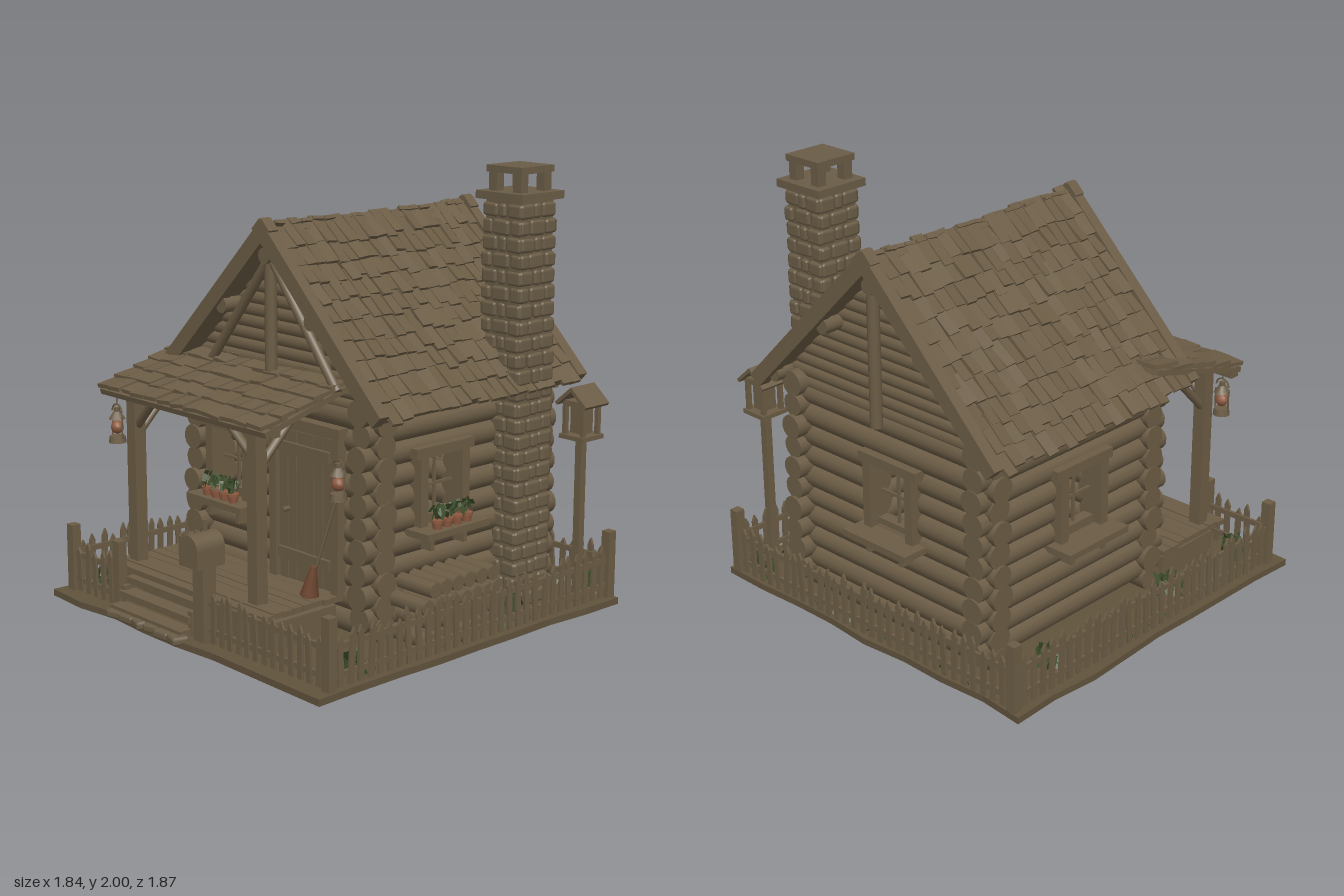
import * as THREE from 'three';
import { mergeGeometries } from 'three/addons/utils/BufferGeometryUtils.js';
import { RoundedBoxGeometry } from 'three/addons/geometries/RoundedBoxGeometry.js';

let seed = 7;
const rnd = () => (seed = (seed * 16807) % 2147483647) / 2147483647;
const jit = (a) => (rnd() * 2 - 1) * a;
const V = (x, y, z) => new THREE.Vector3(x, y, z);
const mat = (name, color, side = THREE.FrontSide) => {
  const m = new THREE.MeshStandardMaterial({ color, side });
  m.name = name;
  return m;
};

function place(g, x, y, z, rx = 0, ry = 0, rz = 0) {
  return g.rotateZ(rz).rotateX(rx).rotateY(ry).translate(x, y, z);
}
const box = (w, h, d, ...p) => place(new THREE.BoxGeometry(w, h, d), ...p);
const stone = (w, h, d, ...p) => place(new RoundedBoxGeometry(w, h, d, 1, 0.014), ...p);
const cyl = (r1, r2, h, n, ...p) => place(new THREE.CylinderGeometry(r1, r2, h, n), ...p);
// round pole between two points
function pole(a, b, r, n = 12) {
  const d = b.clone().sub(a);
  const g = new THREE.CylinderGeometry(r, r, d.length(), n);
  g.applyQuaternion(new THREE.Quaternion().setFromUnitVectors(V(0, 1, 0), d.normalize()));
  return g.translate(...a.clone().add(b).multiplyScalar(0.5).toArray());
}
function add(parent, name, material, geos) {
  const list = geos.map((g) => (g.index ? g.toNonIndexed() : g));
  const mesh = new THREE.Mesh(mergeGeometries(list), material);
  mesh.name = name;
  parent.add(mesh);
  return mesh;
}
function group(parent, name, x, y, z, ry = 0) {
  const g = new THREE.Group();
  g.name = name;
  g.position.set(x, y, z);
  g.rotation.y = ry;
  parent.add(g);
  return g;
}

export function createModel() {
  seed = 7;
  const root = new THREE.Group();
  root.name = 'logCabin';
  const wood = mat('wood', 0x6b5c45), earth = mat('earth', 0x61533d), rock = mat('stone', 0x6a5c46);
  const clay = mat('terracotta', 0x8c5940), straw = mat('straw', 0x6e4630);
  const leaf = mat('leaf', 0x3f4f2c, THREE.DoubleSide);

  // ground slab with a ragged edge
  const edge = [];
  for (let s = 0; s < 4; s++) for (let i = 0; i < 8; i++)
    edge.push(new THREE.Vector2(-0.92 + i * 0.23, -0.91 + (i ? jit(0.015) : 0)).rotateAround(new THREE.Vector2(), s * Math.PI / 2));
  const slab = new THREE.ExtrudeGeometry(new THREE.Shape(edge), { depth: 0.03, bevelEnabled: false });
  add(root, 'ground', earth, [slab.rotateX(-Math.PI / 2)]);

  // log walls, each log split around the window opening
  const logs = [];
  function wall(at, from, to, hole, y0, count, run) {
    for (let i = 0; i < count; i++) {
      const y = y0 + i * 0.1, r = 0.056 + jit(0.004), c = at + jit(0.004);
      const a = from + jit(0.012), b = to + jit(0.012);
      const spans = y > 0.52 && y < 0.8 ? [[a, hole - 0.125], [hole + 0.125, b]] : [[a, b]];
      for (const [p, q] of spans) logs.push(run === 'x' ? pole(V(p, y, c), V(q, y, c), r, 14) : pole(V(c, y, p), V(c, y, q), r, 14));
    }
  }
  wall(0.27, -0.62, 0.62, -0.31, 0.08, 10, 'x');
  wall(-0.71, -0.62, 0.62, -0.04, 0.08, 10, 'x');
  wall(0.55, -0.81, 0.37, -0.06, 0.13, 10, 'z');
  wall(-0.55, -0.81, 0.37, -0.21, 0.13, 10, 'z');
  add(root, 'logWalls', wood, logs);
  add(root, 'cabinFloor', wood, [box(1.06, 0.14, 0.94, 0, 0.1, -0.22)]);

  // gables, trusses and purlins
  const gable = [], truss = [];
  for (const z of [0.28, -0.72]) for (let y = 1.03; y < 1.7; y += 0.055)
    gable.push(pole(V(y - 1.71, y, z), V(1.71 - y, y, z), 0.034, 10));
  for (const z of [0.37, -0.81]) {
    truss.push(pole(V(0, 1.0, z), V(0, 1.68, z), 0.028));
    if (z > 0) for (const s of [-1, 1]) truss.push(pole(V(0.02 * s, 1.6, z), V(0.42 * s, 1.1, z), 0.022));
  }
  for (const [x, y] of [[0, 1.63], [-0.29, 1.38], [0.29, 1.38], [-0.62, 1.07], [0.62, 1.07]])
    truss.push(pole(V(x, y, -0.84), V(x, y, 0.41), 0.036));
  add(root, 'gableLogs', wood, gable);
  add(root, 'trussAndPurlins', wood, truss);

  // main roof: two mirrored slopes of loose shingles
  for (const s of [0, 1]) {
    const side = group(root, 'roofSide', 0, 1.765, -0.22, s * Math.PI);
    const slope = group(side, 'roofSlope', 0, 0, 0);
    slope.rotation.z = -Math.PI / 4;
    const boards = [box(1.02, 0.025, 1.2, 0.51, -0.035, 0)];
    for (const z of [-0.62, 0.62]) boards.push(box(1.05, 0.07, 0.055, 0.5, -0.02, z));
    add(slope, 'roofBoards', wood, boards);
    const shingles = [];
    for (let r = 0; r < 10; r++) for (let i = 0; i < 20; i++)
      shingles.push(box(0.145 + jit(0.02), 0.016, 0.058 + jit(0.008), 0.065 + r * 0.101 + jit(0.012), -0.003 + jit(0.004),
        -0.56 + i * 0.059 + jit(0.006), jit(0.14), jit(0.06), 0.1 + jit(0.05)));
    add(slope, 'shingles', wood, shingles);
  }

  // porch roof
  const porch = group(root, 'porchRoof', -0.145, 1.085, 0.475);
  porch.rotation.x = 0.272;
  add(porch, 'porchBoards', wood, [box(1.13, 0.025, 0.62, 0, -0.025, 0)]);
  const tiles = [];
  for (let r = 0; r < 6; r++) for (let i = 0; i < 13; i++)
    tiles.push(box(0.088 + jit(0.01), 0.018, 0.14 + jit(0.015), -0.525 + i * 0.0875 + jit(0.006), 0.004 + jit(0.003),
      -0.25 + r * 0.1 + jit(0.008), -0.11 + jit(0.03), jit(0.05), jit(0.1)));
  add(porch, 'porchShingles', wood, tiles);

  // porch frame: posts, beam and braces
  const frame = [box(1.14, 0.05, 0.05, -0.15, 0.985, 0.71)];
  for (const x of [-0.58, 0.25]) {
    frame.push(box(0.06, 0.82, 0.06, x, 0.58, 0.67), box(0.045, 0.045, 0.45, x, 1.01, 0.5));
    frame.push(pole(V(x, 0.8, 0.65), V(x, 0.99, 0.46), 0.02, 8));
    const s = x < 0 ? 1 : -1;
    frame.push(pole(V(x, 0.82, 0.67), V(x + 0.15 * s, 0.96, 0.69), 0.02, 8));
  }
  add(root, 'porchFrame', wood, frame);

  // porch deck and steps
  const deck = [box(1.02, 0.13, 0.36, -0.12, 0.09, 0.53)];
  for (let i = 0; i < 8; i++) deck.push(box(1.06 + jit(0.01), 0.025, 0.052, -0.12, 0.19 + jit(0.003), 0.355 + i * 0.056));
  for (let i = 0; i < 3; i++) deck.push(box(0.5, 0.03, 0.075, -0.24, 0.16 - i * 0.055, 0.775 + i * 0.045));
  for (const x of [-0.48, 0]) deck.push(box(0.03, 0.12, 0.1, x, 0.08, 0.79));
  add(root, 'deckAndSteps', wood, deck);
  const slabs = [];
  for (let i = 0; i < 6; i++) slabs.push(stone(0.095, 0.04, 0.08 + jit(0.015), -0.45 + i * 0.088, 0.03, 0.89 + jit(0.012), 0, jit(0.3)));
  add(root, 'doorstepStones', rock, slabs);

  // plank door
  const door = [];
  for (let i = 0; i < 6; i++) door.push(box(0.052, 0.68 + jit(0.008), 0.02, 0.05 + i * 0.056, 0.54, 0.335 + jit(0.003)));
  for (const y of [0.32, 0.8]) door.push(box(0.33, 0.045, 0.018, 0.19, y, 0.352));
  for (const x of [-0.01, 0.39]) door.push(box(0.045, 0.72, 0.05, x, 0.55, 0.335));
  door.push(box(0.46, 0.05, 0.055, 0.19, 0.91, 0.335), cyl(0.012, 0.012, 0.04, 8, 0.08, 0.52, 0.36, Math.PI / 2));
  add(root, 'door', wood, door);

  // leafy tuft made of thin blades
  function tuft(x, y, z, spread, h, n) {
    const out = [];
    for (let i = 0; i < n; i++)
      out.push(place(new THREE.PlaneGeometry(h * 0.25, h * 0.5), x + jit(spread), y + h * (0.25 + rnd() * 0.55), z + jit(spread), jit(0.8), rnd() * 6, jit(0.5)));
    return out;
  }

  // windows: local x runs along the wall, local z points outwards
  function windowAt(x, z, ry, pots) {
    const g = group(root, 'window', x, 0, z, ry), w = [];
    for (const s of [-1, 1]) w.push(box(0.045, 0.32, 0.1, s * 0.127, 0.66, 0.04), box(0.022, 0.06, 0.07, s * 0.1, 0.425, 0.08));
    w.push(box(0.35, 0.045, 0.09, 0, 0.825, 0.045), box(0.38, 0.03, 0.16, 0, 0.48, 0.095), box(0.23, 0.04, 0.05, 0, 0.515, 0.02));
    w.push(box(0.012, 0.29, 0.012, 0, 0.66, 0.02), box(0.22, 0.012, 0.012, 0, 0.66, 0.02));
    add(g, 'windowFrame', wood, w);
    if (!pots) return;
    const pot = [], plant = [];
    for (const px of [-0.09, -0.03, 0.03, 0.09]) {
      pot.push(cyl(0.025, 0.019, 0.04, 10, px, 0.512, 0.13), cyl(0.028, 0.028, 0.012, 10, px, 0.53, 0.13));
      plant.push(...tuft(px, 0.53, 0.13, 0.025, 0.075, 14));
    }
    add(g, 'flowerPots', clay, pot);
    add(g, 'potPlants', leaf, plant);
  }
  windowAt(-0.31, 0.28, 0, true);
  windowAt(0.55, -0.06, Math.PI / 2, true);
  windowAt(-0.55, -0.21, -Math.PI / 2, false);
  windowAt(-0.04, -0.71, Math.PI, false);

  // stone chimney with an open cap
  const ch = group(root, 'chimney', 0.61, 0, -0.53), st = [];
  add(ch, 'chimneyCore', rock, [box(0.2, 1.83, 0.21, 0, 0.94, 0)]);
  for (let k = 0; k < 25; k++) for (let f = 0; f < 4; f++) {
    let x = -0.115;
    const cut = k % 2 ? [0.06, 0.1, 0.07] : [0.09, 0.05, 0.09];
    for (const w of cut) {
      const g = stone(w - 0.006, 0.064 + jit(0.004), 0.03, x + w / 2, 0.07 + k * 0.0725, 0.105 + jit(0.006), 0, 0, jit(0.05));
      st.push(g.rotateY(f * Math.PI / 2));
      x += w;
    }
  }
  add(ch, 'chimneyStones', rock, st);
  const cap = [box(0.27, 0.035, 0.27, 0, 1.872, 0), box(0.205, 0.03, 0.21, 0, 1.985, 0)];
  for (const x of [-1, 1]) for (const z of [-1, 1]) cap.push(box(0.045, 0.085, 0.045, x * 0.07, 1.93, z * 0.075));
  add(ch, 'chimneyCap', rock, cap);

  // picket fence
  const picket = new THREE.Shape([[-0.014, 0], [0.014, 0], [0.014, 0.2], [0, 0.23], [-0.014, 0.2]].map((p) => new THREE.Vector2(...p)));
  const fence = [];
  function run(x0, z0, x1, z1) {
    const len = Math.hypot(x1 - x0, z1 - z0), ry = Math.atan2(z0 - z1, x1 - x0), n = Math.round(len / 0.055);
    for (const y of [0.085, 0.205]) fence.push(box(len, 0.025, 0.014, (x0 + x1) / 2, y, (z0 + z1) / 2, 0, ry));
    for (let i = 1; i < n; i++) {
      const g = new THREE.ExtrudeGeometry(picket, { depth: 0.012, bevelEnabled: false });
      g.scale(1, 1 + jit(0.1), 1);
      fence.push(place(g, x0 + (x1 - x0) * i / n, 0.035, z0 + (z1 - z0) * i / n, jit(0.03), ry, jit(0.06)));
    }
  }
  run(-0.86, 0.83, -0.51, 0.83);
  run(0.1, 0.83, 0.87, 0.83);
  run(0.87, 0.83, 0.87, -0.89);
  run(0.87, -0.89, -0.86, -0.89);
  run(-0.86, -0.89, -0.86, 0.83);
  for (const [x, z] of [[-0.86, 0.83], [-0.51, 0.83], [0.1, 0.83], [0.87, 0.83], [0.87, -0.89], [-0.86, -0.89]])
    fence.push(box(0.045, 0.31, 0.045, x, 0.185, z));
  add(root, 'fence', wood, fence);

  // domed mailbox on the gate post
  const dome = new THREE.Shape();
  dome.moveTo(-0.062, 0).lineTo(0.062, 0).lineTo(0.062, 0.08).absarc(0, 0.08, 0.062, 0, Math.PI, false);
  const mail = new THREE.ExtrudeGeometry(dome, { depth: 0.15, bevelEnabled: false, curveSegments: 10 });
  add(root, 'mailbox', wood, [place(mail, 0.07, 0.365, 0.75), box(0.07, 0.33, 0.07, 0.09, 0.2, 0.83), box(0.012, 0.07, 0.02, 0.06, 0.52, 0.8)]);

  // bird house on a pole
  const bird = [box(0.035, 0.77, 0.035, 0, 0.41, 0), box(0.14, 0.02, 0.14, 0, 0.8, 0), box(0.07, 0.13, 0.07, 0, 0.88, 0)];
  for (const s of [-1, 1]) {
    for (const z of [-1, 1]) bird.push(box(0.02, 0.15, 0.02, s * 0.05, 0.88, z * 0.05));
    bird.push(box(0.118, 0.016, 0.16, s * 0.04, 0.985, 0, 0, 0, -s * 0.72));
  }
  bird.push(box(0.11, 0.025, 0.11, 0, 0.95, 0));
  add(group(root, 'birdHouse', 0.82, 0, -0.735), 'birdHouseParts', wood, bird);

  // firewood stack
  const fire = [];
  for (let r = 0; r < 4; r++) for (let i = 0; i < 7 - (r % 2); i++) {
    const z = -0.215 + i * 0.072 + (r % 2) * 0.036, y = 0.07 + r * 0.072;
    fire.push(pole(V(0.62, y, z), V(0.82 + jit(0.012), y, z), 0.036, 8));
  }
  add(root, 'firewood', wood, fire);

  // hanging lanterns
  for (const [x, y, z] of [[-0.64, 0.75, 0.73], [0.47, 0.65, 0.41]]) {
    const l = group(root, 'lantern', x, y, z);
    const metal = [cyl(0.035, 0.04, 0.03, 10, 0, 0.015, 0), cyl(0.015, 0.038, 0.035, 10, 0, 0.125, 0), cyl(0.014, 0.014, 0.02, 8, 0, 0.15, 0)];
    for (const s of [-1, 1]) metal.push(cyl(0.004, 0.004, 0.1, 5, s * 0.036, 0.07, 0));
    metal.push(place(new THREE.TorusGeometry(0.035, 0.004, 5, 12, Math.PI), 0, 0.14, 0), cyl(0.003, 0.003, 0.05, 5, 0, 0.2, 0));
    add(l, 'lanternMetal', wood, metal);
    add(l, 'lanternGlass', clay, [place(new THREE.SphereGeometry(0.03, 10, 8), 0, 0.07, 0)]);
  }

  // broom and slatted bucket
  add(root, 'broomHandle', wood, [pole(V(0.36, 0.33, 0.44), V(0.44, 0.68, 0.38), 0.008, 6)]);
  add(root, 'broomBrush', straw, [cyl(0.012, 0.042, 0.14, 8, 0.345, 0.275, 0.45, 0, 0, -0.2)]);
  const slats = [cyl(0.05, 0.04, 0.11, 12, 0, 0.07, 0)];
  for (let i = 0; i < 12; i++) slats.push(place(new THREE.BoxGeometry(0.022, 0.14 + jit(0.012), 0.008), 0, 0.075, 0.05, 0.12).rotateY(i * Math.PI / 6));
  add(group(root, 'bucket', -0.35, 0.2, 0.54), 'bucketSlats', wood, slats);

  // weeds and grass
  const weeds = [];
  for (const [x, z] of [[-0.75, -0.57], [-0.73, 0.28], [0.77, -0.34], [0.81, 0.65], [0.75, -0.84], [-0.72, 0.76]])
    weeds.push(...tuft(x, 0.03, z, 0.045, 0.12, 30));
  for (let i = 0; i < 50; i++) {
    const t = jit(0.84), s = i % 2 ? 1 : -1;
    weeds.push(...(i % 4 < 2 ? tuft(s * 0.83, 0.02, t, 0.02, 0.045, 3) : tuft(t, 0.02, -0.86, 0.02, 0.045, 3)));
  }
  add(root, 'weeds', leaf, weeds);
  return root;
}
